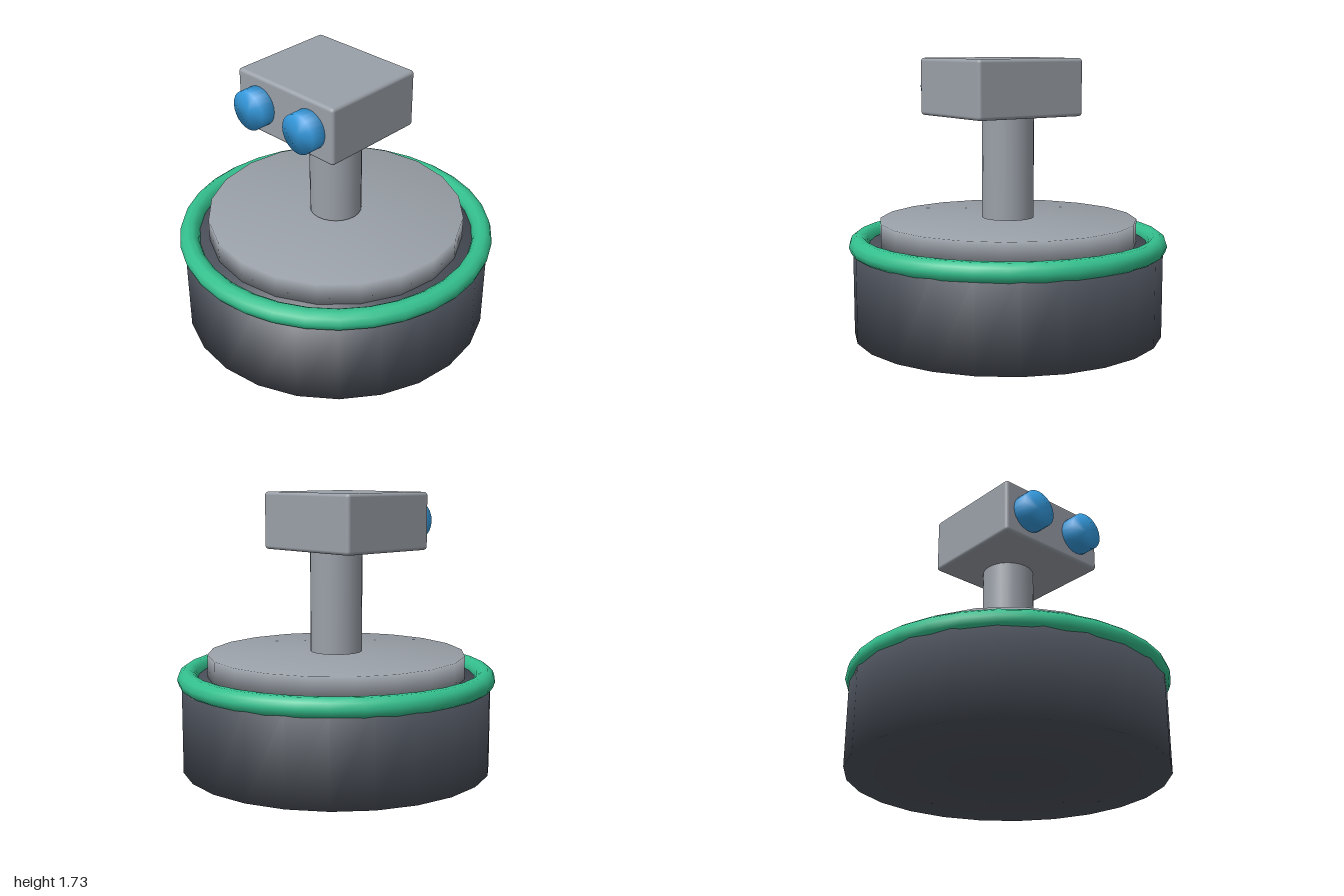
import * as THREE from 'three';
import { mergeVertices } from 'three/addons/utils/BufferGeometryUtils.js';
import { RoundedBoxGeometry } from 'three/addons/geometries/RoundedBoxGeometry.js';

const paint = (color) => new THREE.MeshStandardMaterial({ color });

// Welds a geometry so its shading runs smoothly over every edge
function soften(geometry) {
  geometry.deleteAttribute('normal');
  geometry.deleteAttribute('uv');
  const welded = mergeVertices(geometry, 1e-4);
  welded.computeVertexNormals();
  return welded;
}

// Upright cylinder between two heights
function drum(radius, bottom, top, sides) {
  return new THREE.CylinderGeometry(radius, radius, top - bottom, sides)
    .translate(0, (bottom + top) / 2, 0);
}

export function createModel() {
  const model = new THREE.Group();
  model.name = 'robot';
  const dark = paint(0x4a4f59);
  const green = paint(0x34c08e);
  const blue = paint(0x3498db);
  const metal = paint(0x9aa0a8);

  const add = (name, geometry, material) => {
    const mesh = new THREE.Mesh(geometry, material);
    mesh.name = name;
    model.add(mesh);
    return mesh;
  };

  // Round body with a bumper around its top edge
  add('base', soften(drum(0.975, 0, 0.58, 24)), dark);
  const bumper = new THREE.TorusGeometry(0.936, 0.064, 10, 32).rotateX(Math.PI / 2);
  add('bumper', bumper.translate(0, 0.577, 0), green);

  // Lid and neck, with a hairline gap between them
  add('lid', soften(drum(0.81, 0.58, 0.725, 20)), metal);
  add('neck', drum(0.163, 0.735, 1.4, 24), metal);

  // Head set slightly forward on the neck
  add('head', new RoundedBoxGeometry(0.77, 0.36, 0.69, 3, 0.022), metal)
    .position.set(0, 1.55, 0.08);

  // Pair of eyes
  for (const [name, side] of [['leftEye', 1], ['rightEye', -1]]) {
    const eye = new THREE.CylinderGeometry(0.122, 0.122, 0.12, 24).rotateX(Math.PI / 2);
    add(name, soften(eye), blue).position.set(side * 0.204, 1.547, 0.46);
  }

  return model;
}
